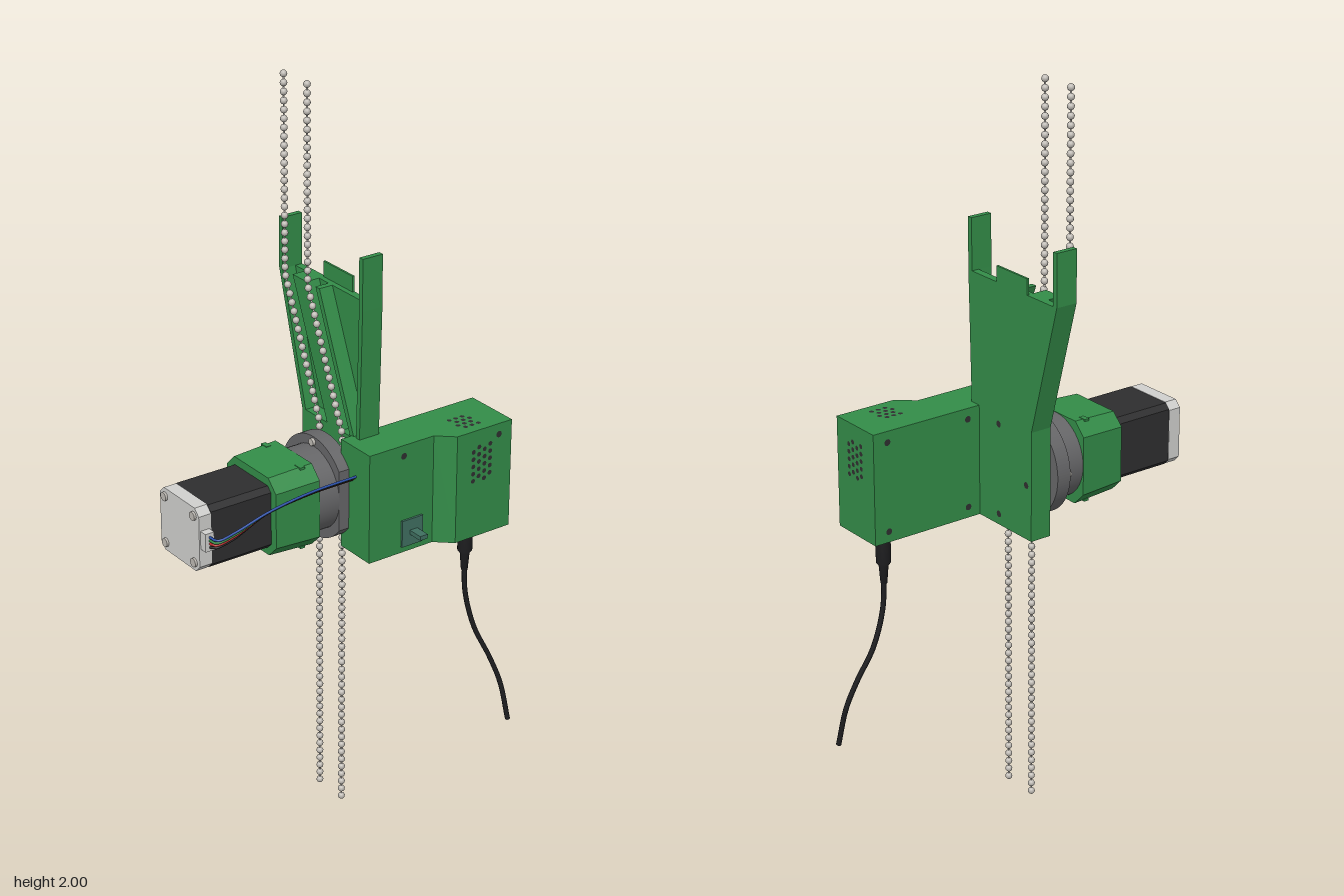
import * as THREE from 'three';
import { mergeGeometries } from 'three/addons/utils/BufferGeometryUtils.js';

const mat = (name, color) => new THREE.MeshStandardMaterial({ name, color });

export function createModel() {
  const model = new THREE.Group();
  model.name = 'chainDrive';
  const green = mat('greenPlastic', 0x338c48), grey = mat('gearboxGrey', 0x666668);
  const black = mat('motorBlack', 0x2e2e2f), silver = mat('motorSilver', 0xcfcfcd);
  const bead = mat('chainMetal', 0xbdb9b3), rubber = mat('rubberBlack', 0x1d1d1f);
  const red = mat('wireRed', 0xb52a2a), blue = mat('wireBlue', 0x2a4fa8);
  const teal = mat('switchTeal', 0x3f6f60);
  const CX = -0.005, CY = 0.95; // drive axis

  const add = (name, geo, material, x = 0, y = 0, z = 0) => {
    const m = new THREE.Mesh(geo, material);
    m.name = name;
    m.position.set(x, y, z);
    model.add(m);
    return m;
  };
  const shapeOf = pts => new THREE.Shape(pts.map(p => new THREE.Vector2(...p)));
  const extrude = (shape, depth) =>
    new THREE.ExtrudeGeometry(shape, { depth, bevelEnabled: false, curveSegments: 8 });
  const plate = (name, pts, z0, z1, m = green) => add(name, extrude(shapeOf(pts), z1 - z0), m, 0, 0, z0);
  const box = (name, w, h, d, m, x, y, z) => add(name, new THREE.BoxGeometry(w, h, d), m, x, y, z);
  const diskZ = (name, r, z0, z1, m, x = CX, y = CY, n = 48) =>
    add(name, new THREE.CylinderGeometry(r, r, z1 - z0, n).rotateX(Math.PI / 2), m, x, y, (z0 + z1) / 2);
  const tube = (name, pts, r, m) => add(name, new THREE.TubeGeometry(
    new THREE.CatmullRomCurve3(pts.map(p => new THREE.Vector3(...p))), 40, r, 8), m);
  // square with cut corners, centred on the drive axis
  const cutSquare = (h, c) => [[h, h - c], [h - c, h], [c - h, h], [-h, h - c],
    [-h, c - h], [c - h, -h], [h - c, -h], [h, c - h]].map(([x, y]) => [x + CX, y + CY]);

  // Wall bracket: back plate, lower block, prongs, ribs that guide the chain
  const zb = -0.083, zm = -0.062, zf = -0.022;
  plate('bracketBackPlate', [[-0.145, 0.8], [0.09, 0.8], [0.105, 1.1], [0.115, 1.46], [-0.245, 1.46], [-0.145, 1.1]], zb, zm);
  plate('bracketLowerBlock', [[-0.145, 0.8], [0.09, 0.8], [0.105, 1.1], [-0.145, 1.1]], zm, zf);
  plate('leftBracketWall', [[0.09, 1.1], [0.105, 1.1], [0.115, 1.46], [0.1, 1.46]], zm, zf);
  plate('rightBracketWall', [[-0.145, 1.1], [-0.13, 1.1], [-0.23, 1.46], [-0.245, 1.46]], zm, zf);
  box('leftProng', 0.015, 0.14, zf - zb, green, 0.1075, 1.53, (zb + zf) / 2);
  box('rightProng', 0.015, 0.14, zf - zb, green, -0.2375, 1.53, (zb + zf) / 2);
  box('topTab', 0.125, 0.045, 0.006, green, -0.065, 1.48, -0.08);
  const rib = (name, x0, x1) =>
    plate(name, [[x0 + 0.15, 1.1], [x1 + 0.15, 1.1], [x1, 1.46], [x0, 1.46]], zm, zf);
  rib('middleChainRib', -0.185, -0.125);
  rib('outerChainRib', -0.085, -0.068);

  // Sprocket and gearbox; the flange has one flat side beside the electronics box
  diskZ('sprocket', 0.045, zf, 0, green);
  const flange = new THREE.Shape();
  const flat = Math.acos(0.112 / 0.14);
  flange.absarc(CX, CY, 0.14, flat, Math.PI * 2 - flat);
  flange.closePath();
  add('gearboxFlange', new THREE.ExtrudeGeometry(flange, { depth: 0.041, bevelEnabled: false, curveSegments: 48 }), grey, 0, 0, 0.002);
  diskZ('gearboxBody', 0.114, 0.043, 0.106, grey);
  [[0, 0.126], [0, -0.126], [-0.126, 0]].forEach(([x, y]) =>
    diskZ('flangeScrew', 0.01, 0.043, 0.051, bead, CX + x, CY + y, 12));

  // Motor mount: cut-corner block, narrowing slightly towards the motor
  const mount = extrude(shapeOf(cutSquare(0.115, 0.035).map(([x, y]) => [x - CX, y - CY])), 0.13);
  const p = mount.attributes.position;
  for (let i = 0; i < p.count; i++) {
    const s = p.getZ(i) > 0.06 ? 0.95 : 1;
    p.setXY(i, p.getX(i) * s, p.getY(i) * s);
  }
  mount.computeVertexNormals();
  add('motorMount', mount, green, CX, CY, 0.105);
  for (const sx of [-1, 1]) for (const sy of [-1, 1])
    box('mountNutSlot', 0.024, 0.006, 0.014, green, CX + sx * 0.075, CY + sy * 0.112, 0.138);

  // Stepper motor
  plate('motorBody', cutSquare(0.087, 0.014), 0.235, 0.415, black);
  plate('motorEndCap', cutSquare(0.088, 0.018), 0.415, 0.451, silver);
  for (const sx of [-1, 1]) for (const sy of [-1, 1])
    diskZ('motorScrew', 0.012, 0.451, 0.457, bead, CX + sx * 0.065, CY + sy * 0.065, 16);
  box('motorSocket', 0.024, 0.05, 0.026, silver, 0.093, 0.955, 0.434);

  // Motor wires
  [rubber, red, green, blue].forEach((m, i) => {
    const y = (i - 1.5) * 0.009, x = 0.122 + i * 0.005;
    tube('motorWire', [[0.1, 0.955 + y, 0.434], [x - 0.005, 0.955 + y, 0.428], [x, 0.965 + y, 0.38],
      [x, 0.998 + y / 2, 0.28], [x, 1.015 + y / 2, 0.15], [x, 1.018 + y / 2, 0.0]], 0.0035, m);
  });

  // Electronics box, drawn in plan and raised
  const plan = [[0.073, -0.012], [0.195, -0.012], [0.195, 0.19], [0.235, 0.235], [0.235, 0.412], [0.073, 0.412]];
  add('electronicsBox', extrude(shapeOf(plan), 0.305).rotateX(-Math.PI / 2), green, 0, 0.8, 0);

  // Vents: staggered grids of thin dark discs, and screw holes
  const vent = (name, cols, rows, x, y, z, rx, ry, pitch = 0.018, r = 0.0065) => {
    const discs = [];
    for (let c = 0; c < cols; c++) for (let k = 0; k < rows; k++)
      discs.push(new THREE.CircleGeometry(r, 14).translate(
        (c - (cols - 1) / 2) * pitch, (k - (rows - 1) / 2 + (c % 2 ? 0.25 : -0.25)) * pitch * 1.15, 0));
    add(name, mergeGeometries(discs), black, x, y, z).rotation.set(rx, ry, 0);
  };
  const H = Math.PI / 2;
  vent('topVent', 4, 3, 0.175, 1.106, -0.302, -H, 0);
  vent('sideVent', 4, 5, 0.236, 1.01, -0.315, 0, H);
  vent('backVent', 4, 5, 0.155, 1.01, -0.413, 0, Math.PI);
  const hole = (x, y, z, ry) => vent('screwHole', 1, 1, x, y, z, 0, ry, 0, 0.009);
  hole(0.196, 1.075, -0.095, H);
  hole(0.236, 1.075, -0.37, H);
  for (const z of [-0.12, -0.37]) for (const y of [0.83, 1.075]) hole(0.072, y, z, -H);
  for (const [x, y] of [[-0.01, 1.08], [-0.01, 0.83], [-0.125, 0.95]]) hole(x, y, zb - 0.001, Math.PI);

  // Side switch
  box('switchPlate', 0.006, 0.075, 0.066, teal, 0.198, 0.855, -0.122);
  box('switchLever', 0.048, 0.012, 0.024, teal, 0.221, 0.855, -0.125);

  // Power plug and cable
  const plug = [[0, 0.65], [0.009, 0.65], [0.013, 0.7], [0.02, 0.71], [0.02, 0.79], [0.016, 0.8], [0, 0.8]];
  add('powerPlug', new THREE.LatheGeometry(plug.map(q => new THREE.Vector2(...q)), 16), rubber, 0.145, 0, -0.34);
  tube('powerCable', [[0.145, 0.67, -0.34], [0.145, 0.58, -0.345], [0.155, 0.47, -0.37],
    [0.178, 0.37, -0.41], [0.195, 0.29, -0.435], [0.213, 0.18, -0.45]], 0.007, rubber);

  // Two bead chains with a thin cord
  const ball = new THREE.SphereGeometry(0.0095, 12, 8);
  [['rightChain', 0], ['leftChain', 0.1]].forEach(([name, dx]) => {
    const path = new THREE.CurvePath();
    const pts = [[-0.205, 1.99], [-0.205, 1.46], [-0.055, 1.1], [-0.055, 0.01]]
      .map(([x, y]) => new THREE.Vector3(x + dx, y, -0.012));
    for (let i = 0; i < 3; i++) path.add(new THREE.LineCurve3(pts[i], pts[i + 1]));
    const n = Math.round(path.getLength() / 0.0235), parts = [];
    for (let i = 0; i <= n; i++) {
      const q = path.getPointAt(i / n);
      parts.push(ball.clone().translate(q.x, q.y, q.z));
    }
    path.curves.forEach(c => parts.push(new THREE.TubeGeometry(c, 1, 0.0025, 6)));
    add(name, mergeGeometries(parts), bead);
  });
  return model;
}
